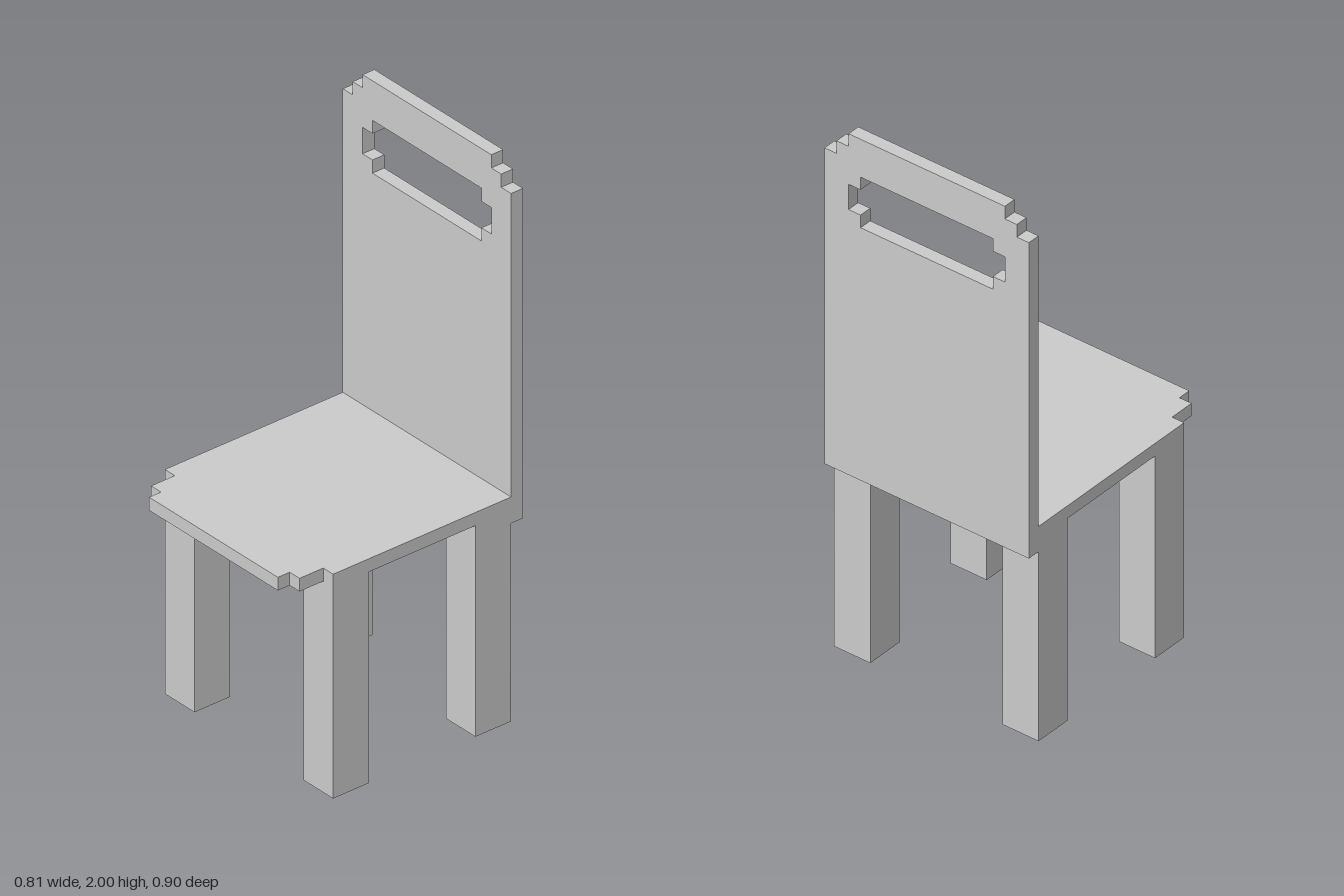
import * as THREE from 'three';

// The chair is laid out on a grid of small cubes, 42 cubes tall
const U = 2 / 42;

// Closed outline mirrored in x, from the points of its right half (bottom to top)
function mirrored(half) {
  const left = half.map(([x, y]) => [-x, y]).reverse();
  return [...half, ...left].map(([x, y]) => new THREE.Vector2(x * U, y * U));
}

export function createModel() {
  const chair = new THREE.Group();
  chair.name = 'chair';
  const material = new THREE.MeshStandardMaterial({ color: 0xcccccc, flatShading: true });

  function add(name, geometry, x, y, z) {
    const mesh = new THREE.Mesh(geometry, material);
    mesh.name = name;
    mesh.position.set(x * U, y * U, z * U);
    chair.add(mesh);
  }
  const slab = { depth: U, bevelEnabled: false };

  // Backrest: stepped top corners and a stepped hand hole
  const back = new THREE.Shape(mirrored([
    [8.5, 15], [8.5, 40], [7.5, 40], [7.5, 41], [6.5, 41], [6.5, 42],
  ]));
  back.holes.push(new THREE.Path(mirrored([
    [5.5, 35], [5.5, 36], [6.5, 36], [6.5, 38], [5.5, 38], [5.5, 39],
  ])));
  add('backrest', new THREE.ExtrudeGeometry(back, slab), 0, 0, -9.5);

  // Seat: outline drawn in x and z, stepped at the front corners, laid flat
  const seat = new THREE.Shape(mirrored([
    [8.5, -8.5], [8.5, 6.5], [7.5, 6.5], [7.5, 8.5], [6.5, 8.5], [6.5, 9.5],
  ]));
  add('seat', new THREE.ExtrudeGeometry(seat, slab).rotateX(Math.PI / 2), 0, 17, 0);

  // Four square legs
  const leg = new THREE.BoxGeometry(3 * U, 16 * U, 3 * U);
  for (const [side, x] of [['Left', 7], ['Right', -7]]) {
    add('front' + side + 'Leg', leg, x, 8, 5);
    add('back' + side + 'Leg', leg, x, 8, -7);
  }
  return chair;
}
